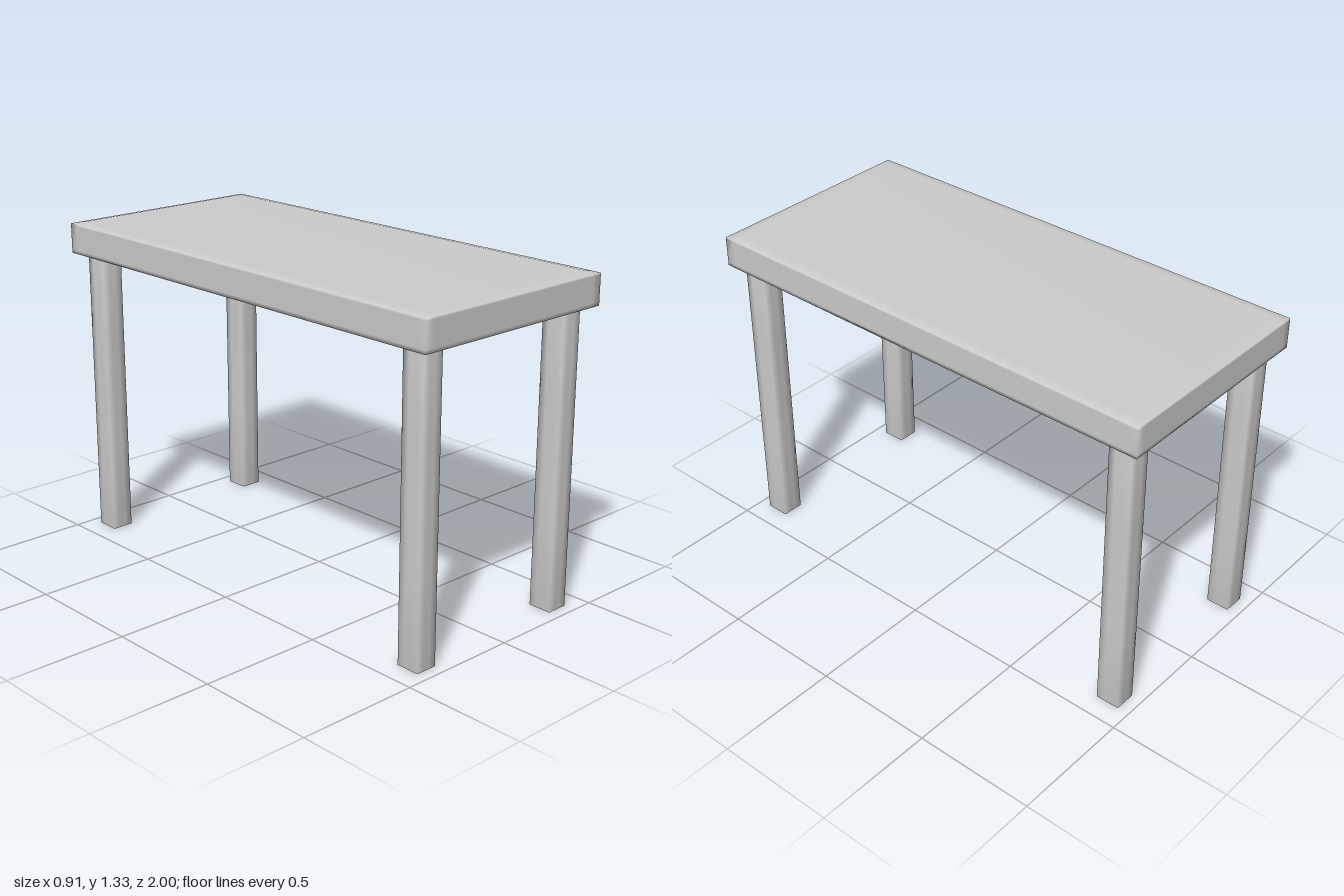
import * as THREE from 'three';
import { mergeVertices } from 'three/addons/utils/BufferGeometryUtils.js';

// Box with a support loop inset from each edge and smooth shared normals
function softBox(w, h, d, ix, iy, iz) {
  const geo = new THREE.BoxGeometry(w, h, d, 3, 3, 3);
  geo.deleteAttribute('uv');
  geo.deleteAttribute('normal');
  const p = geo.attributes.position;
  const shift = (v, size, inset) =>
    Math.abs(v) > size * 0.4 ? v : Math.sign(v) * (size / 2 - inset);
  for (let i = 0; i < p.count; i++) {
    p.setXYZ(i, shift(p.getX(i), w, ix), shift(p.getY(i), h, iy), shift(p.getZ(i), d, iz));
  }
  const merged = mergeVertices(geo, 1e-4);
  merged.computeVertexNormals();
  return merged;
}

export function createModel() {
  const model = new THREE.Group();
  model.name = 'table';
  const grey = new THREE.MeshStandardMaterial({ color: 0xcccccc });
  grey.name = 'pale grey';

  // Table top, its upper rim eased down slightly
  const topGeo = softBox(0.914, 0.13, 2, 0.04, 0.015, 0.04);
  const p = topGeo.attributes.position;
  for (let i = 0; i < p.count; i++) {
    const onRim = Math.abs(p.getX(i)) > 0.456 || Math.abs(p.getZ(i)) > 0.999;
    if (onRim && p.getY(i) > 0.06) p.setY(i, 0.058);
  }
  topGeo.computeVertexNormals();
  const top = new THREE.Mesh(topGeo, grey);
  top.name = 'tableTop';
  top.position.y = 1.265;
  model.add(top);

  // Four square legs with softened shading
  const legGeo = softBox(0.09, 1.2, 0.098, 0.03, 0.35, 0.03);
  for (const x of [-1, 1]) {
    for (const z of [-1, 1]) {
      const leg = new THREE.Mesh(legGeo, grey);
      leg.name = (z > 0 ? 'front' : 'back') + (x > 0 ? 'Left' : 'Right') + 'Leg';
      leg.position.set(x * 0.365, 0.6, z * 0.902);
      model.add(leg);
    }
  }
  return model;
}
